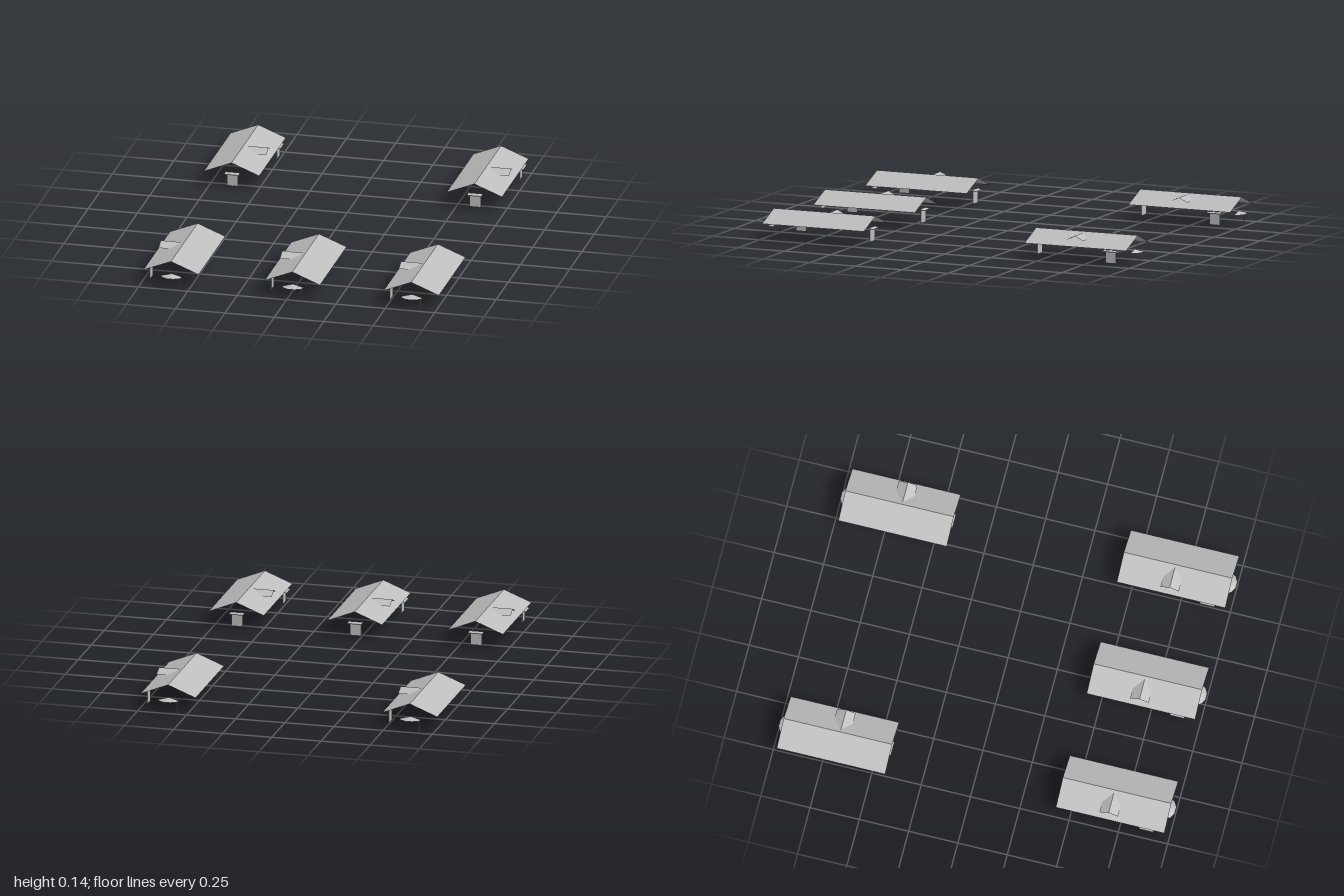
import * as THREE from 'three';

const grey = new THREE.MeshStandardMaterial({ color: 0xbebebe, side: THREE.DoubleSide, flatShading: true });
grey.name = 'plain grey';

const RIDGE = 0.14, EAVE = 0.084, HALF_W = 0.14, HALF_L = 0.275;

function add(parent, name, geometry, x = 0, y = 0, z = 0) {
  const mesh = new THREE.Mesh(geometry, grey);
  mesh.name = name;
  mesh.position.set(x, y, z);
  parent.add(mesh);
  return mesh;
}

// Flat sheet from convex polygons, each a list of [x, y, z] corners
function sheet(polygons) {
  const pos = [];
  for (const p of polygons)
    for (let i = 1; i < p.length - 1; i++) pos.push(...p[0], ...p[i], ...p[i + 1]);
  const g = new THREE.BufferGeometry();
  g.setAttribute('position', new THREE.Float32BufferAttribute(pos, 3));
  g.computeVertexNormals();
  return g;
}

// Door panel facing local +z with a thin sloping awning over it
function doorway(name, x, z, turn, top) {
  const g = new THREE.Group();
  g.name = name;
  const h = top - 0.013;
  add(g, name + 'Panel', new THREE.BoxGeometry(0.057, h, 0.003), 0, 0.013 + h / 2, 0);
  const awning = add(g, name + 'Awning', new THREE.BoxGeometry(0.074, 0.002, 0.025), 0, top, 0.009);
  awning.rotation.x = 0.2;
  g.position.set(x, 0, z);
  g.rotation.y = turn;
  return g;
}

function house() {
  const g = new THREE.Group();
  g.name = 'house';

  // Main gable roof
  add(g, 'roof', sheet([-1, 1].map(s => {
    const q = [[0, RIDGE, -HALF_L], [0, RIDGE, HALF_L], [s * HALF_W, EAVE, HALF_L], [s * HALF_W, EAVE, -HALF_L]];
    return s > 0 ? q : q.reverse();
  })));

  // Dormer: small gable running out of the right slope
  const slopeX = y => -HALF_W * (RIDGE - y) / (RIDGE - EAVE);
  const top = 0.135, low = 0.113, out = -0.122, cz = -0.012;
  add(g, 'dormerRoof', sheet([-1, 1].map(s => {
    const e = cz + s * 0.047;
    const q = [[out, top, cz], [out, low, e], [slopeX(low), low, e], [slopeX(top), top, cz]];
    return s > 0 ? q : q.reverse();
  })));

  // Side and rear doorways
  g.add(doorway('sideDoor', -0.123, 0.184, -Math.PI / 2, 0.075));
  g.add(doorway('rearDoor', 0, -0.256, Math.PI, 0.08));

  // Faceted porch canopy on a single slim post
  const canopy = new THREE.ConeGeometry(0.055, 0.015, 5, 1, true, -Math.PI / 2, Math.PI);
  canopy.scale(1, 1, 0.76);
  add(g, 'porchCanopy', canopy, 0, 0.0635, 0.257);
  add(g, 'porchPost', new THREE.BoxGeometry(0.004, 0.058, 0.004), 0.044, 0.029, 0.266);
  return g;
}

export function createModel() {
  const model = new THREE.Group();
  model.name = 'houses';
  // Front row of three, back row of two turned around
  for (const x of [-0.59, 0.024, 0.626]) {
    const h = house();
    h.position.set(x, 0, 0.703);
    model.add(h);
  }
  for (const x of [-0.629, 0.6]) {
    const h = house();
    h.position.set(x, 0, -0.703);
    h.rotation.y = Math.PI;
    model.add(h);
  }
  return model;
}
